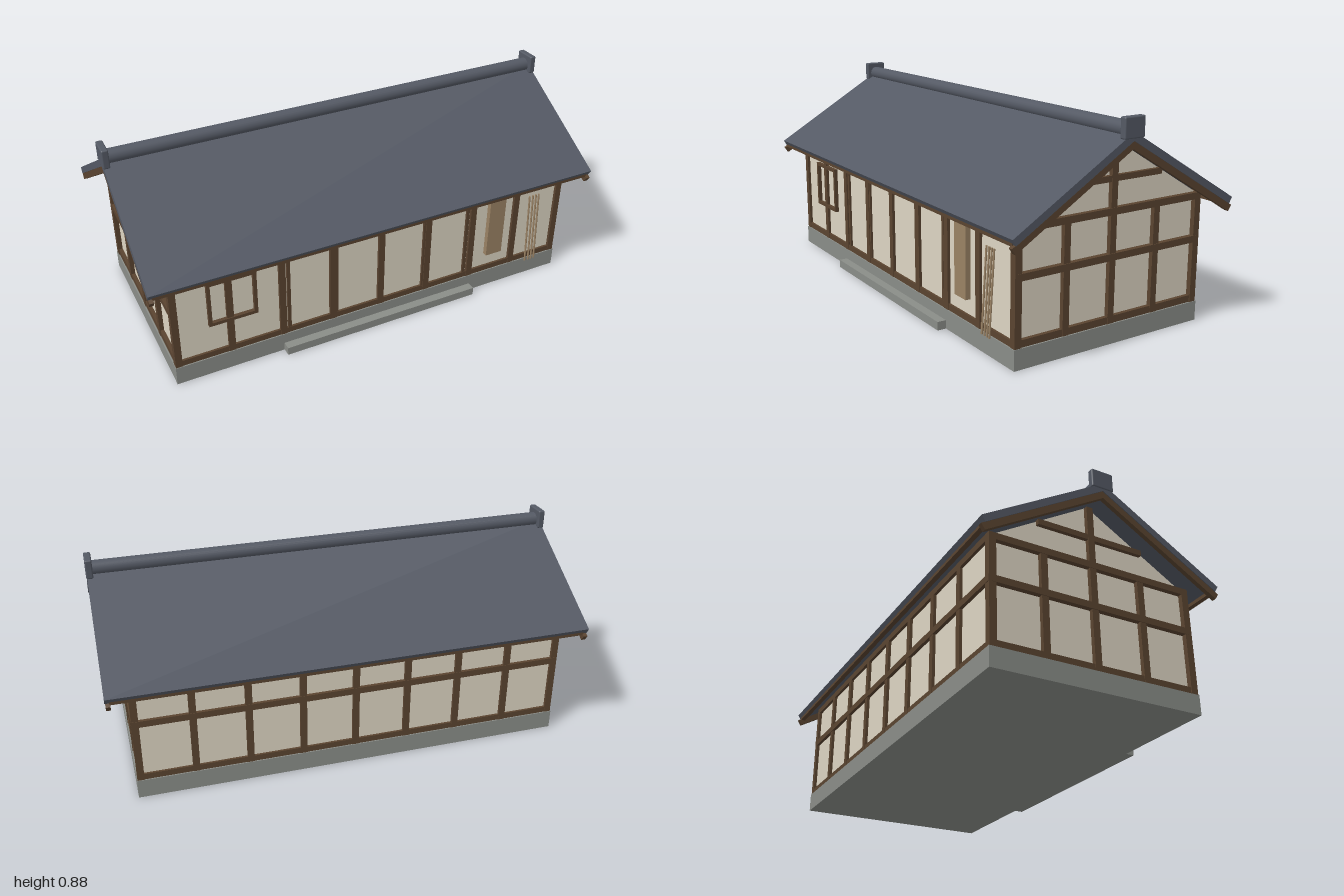
import * as THREE from 'three';
import { RoundedBoxGeometry } from 'three/addons/geometries/RoundedBoxGeometry.js';

const material = (name, color, side = THREE.FrontSide) => {
  const m = new THREE.MeshStandardMaterial({ color, side });
  m.name = name;
  return m;
};

export function createModel() {
  const house = new THREE.Group();
  house.name = 'house';
  const plaster = material('plaster', 0xddd5c3);
  const timber = material('darkTimber', 0x5a4430);
  const slate = material('slateTile', 0x545964);
  const stone = material('stone', 0x8a8d88);
  const paleWood = material('paleWood', 0x9a8264);

  const add = (name, geometry, mat, parent = house) => {
    const mesh = new THREE.Mesh(geometry, mat);
    mesh.name = name;
    parent.add(mesh);
    return mesh;
  };
  // Box given by its limits on each axis
  const box = (name, mat, [x0, x1], [y0, y1], [z0, z1], parent) => {
    const mesh = add(name, new THREE.BoxGeometry(x1 - x0, y1 - y0, z1 - z0), mat, parent);
    mesh.position.set((x0 + x1) / 2, (y0 + y1) / 2, (z0 + z1) / 2);
    return mesh;
  };
  // Prism along x with a profile of [z, y] points
  const prism = (name, mat, points, length, x = 0) => {
    const shape = new THREE.Shape(points.map(([z, y]) => new THREE.Vector2(z, y)));
    const geometry = new THREE.ExtrudeGeometry(shape, { depth: length, bevelEnabled: false });
    geometry.translate(0, 0, -length / 2).rotateY(-Math.PI / 2);
    const mesh = add(name, geometry, mat);
    mesh.position.x = x;
    return mesh;
  };

  // Stone base and front step
  box('plinth', stone, [-0.91, 0.91], [0, 0.08], [-0.44, 0.44]);
  box('frontStep', stone, [-0.45, 0.45], [0, 0.035], [0.43, 0.477]);

  // Plastered body with both gables
  prism('plasterWalls', plaster,
    [[0.425, 0.08], [0.425, 0.525], [0, 0.78], [-0.425, 0.525], [-0.425, 0.08]], 1.776);

  // Timber frame of the long walls
  const bay = 0.2235;
  const frame = new THREE.Group();
  frame.name = 'timberFrame';
  house.add(frame);
  for (const s of [-1, 1]) {
    const span = (a, b) => (s > 0 ? [a, b] : [-b, -a]);
    for (let i = -4; i <= 4; i++) {
      const x = i * bay;
      box('longWallPost', timber, [x - 0.014, x + 0.014], [0.08, 0.525], span(0.408, 0.437), frame);
    }
    box('longWallSill', timber, [-0.905, 0.905], [0.08, 0.105], span(0.41, 0.435), frame);
    box('wallPlate', timber, [-0.905, 0.905], [0.5, 0.527], span(0.41, 0.437), frame);

    // Timber frame of the gable walls
    for (let i = -2; i <= 2; i++) {
      const z = i * 0.2115;
      box('gablePost', timber, span(0.88, 0.906), [0.08, 0.525], [z - 0.014, z + 0.014], frame);
    }
    box('gableSill', timber, span(0.88, 0.904), [0.08, 0.108], [-0.436, 0.436], frame);
    box('gableMidRail', timber, span(0.88, 0.909), [0.327, 0.354], [-0.43, 0.43], frame);
    box('gableTieBeam', timber, span(0.88, 0.908), [0.5, 0.527], [-0.436, 0.436], frame);
    box('gableCollar', timber, span(0.88, 0.904), [0.624, 0.647], [-0.23, 0.23], frame);
    box('kingPost', timber, span(0.88, 0.906), [0.52, 0.77], [-0.014, 0.014], frame);
  }
  box('backMidRail', timber, [-0.905, 0.905], [0.327, 0.354], [-0.439, -0.41], frame);

  // Sliding door surround and panel stiles
  const doors = new THREE.Group();
  doors.name = 'slidingDoors';
  house.add(doors);
  box('doorLintel', timber, [-0.435, 0.435], [0.472, 0.49], [0.42, 0.437], doors);
  for (const s of [-1, 1]) {
    const x = s * 0.419;
    box('doorJamb', timber, [x - 0.007, x + 0.007], [0.1, 0.48], [0.42, 0.434], doors);
    const m = s * 0.218;
    box('doorStile', timber, [m - 0.018, m + 0.018], [0.1, 0.48], [0.42, 0.434], doors);
  }

  // Square window frame
  const windowFrame = new THREE.Group();
  windowFrame.name = 'windowFrame';
  house.add(windowFrame);
  for (const x of [-0.753, -0.563])
    box('windowSide', timber, [x - 0.007, x + 0.007], [0.235, 0.44], [0.42, 0.441], windowFrame);
  for (const y of [0.242, 0.433])
    box('windowRail', timber, [-0.76, -0.556], [y - 0.007, y + 0.007], [0.42, 0.441], windowFrame);

  // Hanging board and leaning poles
  box('hangingBoard', paleWood, [0.525, 0.605], [0.168, 0.46], [0.424, 0.446]);
  [0.735, 0.753, 0.769, 0.784].forEach((x) => {
    const pole = add('leaningPole', new THREE.CylinderGeometry(0.004, 0.004, 0.332, 8), paleWood);
    pole.position.set(x, 0.25, 0.45);
    pole.rotation.x = -0.06;
  });

  // Roof slopes, barge boards and eave boards
  prism('roofSlopes', slate,
    [[0.512, 0.515], [0, 0.82], [-0.512, 0.515], [-0.498, 0.491], [0, 0.787], [0.498, 0.491]], 1.994);
  for (const s of [-1, 1]) {
    prism('bargeBoards', timber,
      [[0.513, 0.483], [0, 0.788], [-0.513, 0.483], [-0.498, 0.46], [0, 0.757], [0.498, 0.46]], 0.018, s * 0.985);
    const z = s * 0.492;
    box('eaveBoard', timber, [-0.98, 0.98], [0.485, 0.499], [z - 0.01, z + 0.01]);
  }

  // Ridge roll and its end tiles
  const ridge = add('ridgeRoll', new THREE.CylinderGeometry(0.03, 0.03, 1.96, 24), slate);
  ridge.rotation.z = Math.PI / 2;
  ridge.position.y = 0.825;
  for (const s of [-1, 1]) {
    const tile = add('ridgeEndTile', new RoundedBoxGeometry(0.028, 0.08, 0.094, 2, 0.006), slate);
    tile.position.set(s * 0.986, 0.835, 0);
  }
  return house;
}
